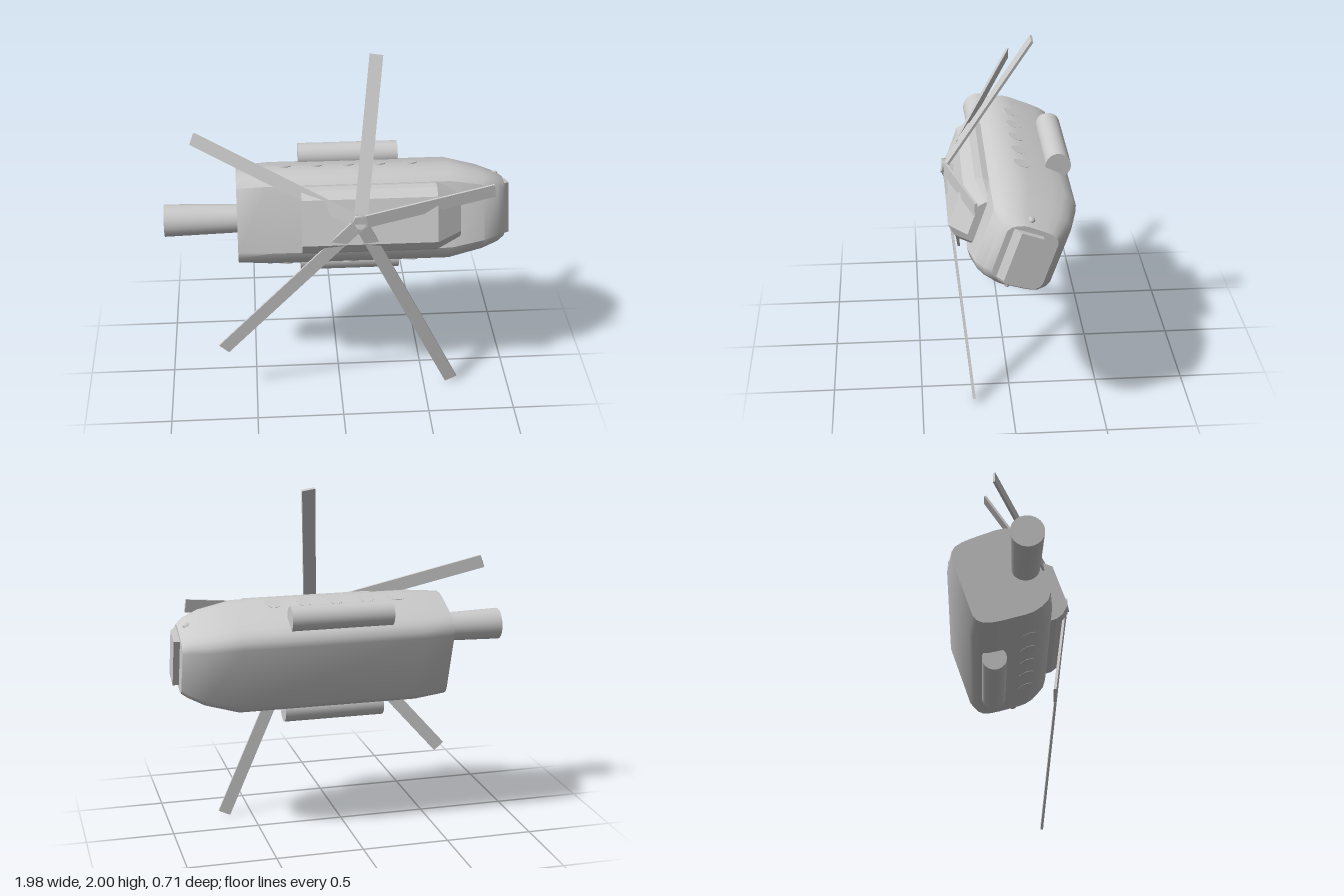
import * as THREE from 'three';
import { toCreasedNormals } from 'three/addons/utils/BufferGeometryUtils.js';

const material = new THREE.MeshStandardMaterial({ color: 0xcccccc });

function add(parent, name, geometry, x = 0, y = 0, z = 0) {
  const mesh = new THREE.Mesh(geometry, material);
  mesh.name = name;
  mesh.position.set(x, y, z);
  parent.add(mesh);
  return mesh;
}

// Loft along x. Station: [x, bottom, top, halfWidth]; half profile: [width 0..1, height 0..1], bottom to top.
function loft(stations, half, crease) {
  const ring = [...half, ...half.slice().reverse().map(([w, h]) => [-w, h])];
  const n = ring.length;
  const pos = [];
  const index = [];
  for (const [x, lo, hi, hw] of stations)
    for (const [w, h] of ring) pos.push(x, lo + (hi - lo) * h, -w * hw);
  for (let j = 0; j < stations.length - 1; j++)
    for (let i = 0; i < n; i++) {
      const a = j * n + i, b = j * n + (i + 1) % n;
      index.push(a, b, a + n, b, b + n, a + n);
    }
  // end caps
  const last = (stations.length - 1) * n;
  for (let i = 1; i < n - 1; i++) {
    index.push(0, i + 1, i);
    index.push(last, last + i, last + i + 1);
  }
  const g = new THREE.BufferGeometry();
  g.setAttribute('position', new THREE.Float32BufferAttribute(pos, 3));
  g.setIndex(index);
  return toCreasedNormals(g, crease);
}

export function createModel() {
  const model = new THREE.Group();
  model.name = 'helicopter';

  // The fuselage is banked about its long axis; inside this group y is its own up
  const airframe = new THREE.Group();
  airframe.name = 'airframe';
  airframe.position.set(0, 1.02, -0.18);
  airframe.rotation.x = THREE.MathUtils.degToRad(71);
  model.add(airframe);

  // Rounded cabin hull
  const hullProfile = [
    [0.68, 0], [0.8, 0.025], [0.9, 0.09], [0.95, 0.19], [0.975, 0.32], [1, 0.62],
    [0.99, 0.72], [0.93, 0.84], [0.83, 0.94], [0.68, 1],
  ];
  add(airframe, 'hull', loft([
    [-0.58, -0.085, 0.36, 0.27],
    [-0.4, -0.11, 0.375, 0.282],
    [0.63, -0.11, 0.375, 0.282],
    [0.82, -0.07, 0.355, 0.235],
    [0.91, -0.025, 0.32, 0.2],
    [0.95, 0, 0.28, 0.175],
  ], hullProfile, 0.6));

  // Engine housing on the roof
  add(airframe, 'engineHousing', loft([
    [-0.22, 0.3, 0.5, 0.19],
    [0.54, 0.3, 0.5, 0.19],
    [0.68, 0.3, 0.41, 0.13],
  ], [[1, 0], [1, 0.55], [0.92, 0.75], [0.68, 1]], 0.3));

  // Wedge-shaped windshield standing proud of the nose
  const screen = new THREE.Shape([
    [0.86, 0.09], [0.985, 0.09], [0.985, 0.21], [0.88, 0.325], [0.82, 0.3],
  ].map(([x, y]) => new THREE.Vector2(x, y)));
  add(airframe, 'windshield', new THREE.ExtrudeGeometry(screen, { depth: 0.29, bevelEnabled: false }), 0, 0, -0.145);

  // Tail boom, slightly wider at its free end
  const boom = new THREE.CylinderGeometry(0.092, 0.08, 0.44, 32);
  boom.rotateZ(Math.PI / 2);
  add(airframe, 'tailBoom', boom, -0.77, 0.28, 0);

  // Side pods, round windows and nose lamps, mirrored
  for (const side of [-1, 1]) {
    const pod = new THREE.CylinderGeometry(0.07, 0.07, 0.58, 32);
    pod.rotateZ(Math.PI / 2);
    add(airframe, 'sidePod', pod, 0.07, 0, side * 0.307);

    for (let i = 0; i < 5; i++) {
      const window = new THREE.CylinderGeometry(0.045, 0.045, 0.02, 24);
      window.rotateX(Math.PI / 2);
      add(airframe, 'roundWindow', window, -0.31 + i * 0.18, 0.21, side * 0.273);
    }
    const lamp = add(airframe, 'noseLamp', new THREE.SphereGeometry(0.02, 16, 10), 0.9, 0.17, side * 0.196);
    lamp.scale.set(1.3, 1, 0.7);
  }

  // Rotor: hub, mast and five drooping blades
  const rotor = new THREE.Group();
  rotor.name = 'rotor';
  model.add(rotor);
  const hub = new THREE.Vector3(0.1, 1.205, 0.34);
  const hubGeometry = new THREE.CylinderGeometry(0.05, 0.05, 0.02, 5);
  hubGeometry.rotateX(Math.PI / 2);
  add(rotor, 'hub', hubGeometry, hub.x, hub.y, hub.z);
  add(airframe, 'mast', new THREE.CylinderGeometry(0.03, 0.03, 0.12, 20), 0.1, 0.5, 0);

  const tips = [
    [0.22, 1.998, -0.14], [-0.82, 1.535, -0.09], [-0.685, 0.315, 0.23],
    [0.665, 0.02, 0.208], [0.865, 1.305, 0.2],
  ];
  for (const tip of tips) {
    const along = new THREE.Vector3(...tip).sub(hub);
    const length = along.length();
    along.normalize();
    const across = new THREE.Vector3().crossVectors(along, new THREE.Vector3(0, 0, 1)).normalize();
    const normal = new THREE.Vector3().crossVectors(across, along);
    const blade = new THREE.BoxGeometry(0.075, length - 0.03, 0.014);
    blade.translate(0, length / 2 + 0.015, 0);
    blade.applyMatrix4(new THREE.Matrix4().makeBasis(across, along, normal));
    add(rotor, 'blade', blade, hub.x, hub.y, hub.z);
  }
  return model;
}
